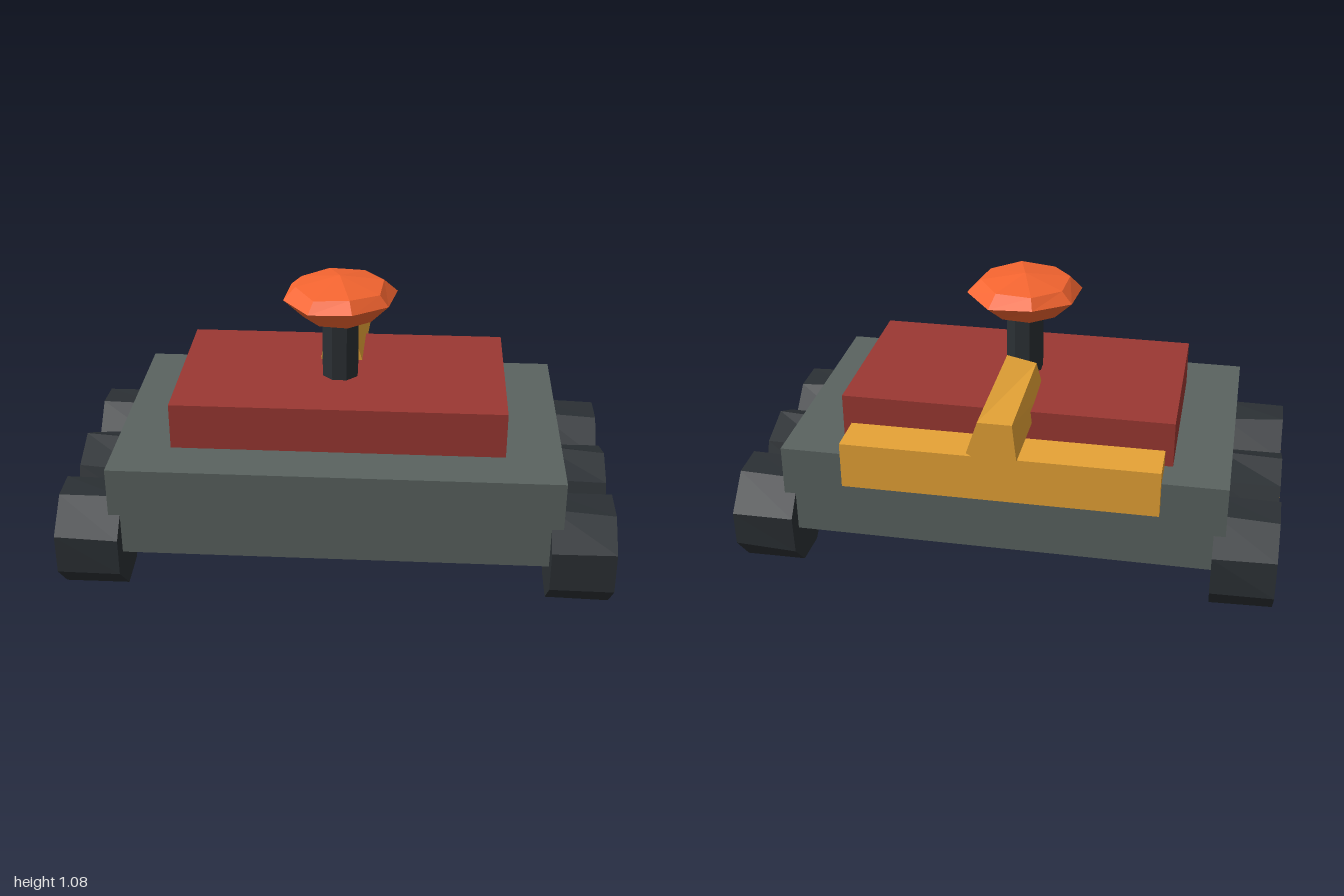
import * as THREE from 'three';

const mat = (color) => new THREE.MeshStandardMaterial({ color, flatShading: true });
const GREY = mat(0x5a6360), RED = mat(0x9b3832), DARK = mat(0x2b3034);
const GOLD = mat(0xe6a336), ORANGE = mat(0xf56530);

// small seeded jitter in -1..1
function makeJitter(seed) {
  let s = seed;
  return () => {
    s = (s * 16807) % 2147483647;
    return (s / 2147483647) * 2 - 1;
  };
}

// skin of equal-length rings, with flat end caps; rings run counter-clockwise seen from the last ring's end
function loft(rings) {
  const pos = [], tri = (...p) => p.forEach((v) => pos.push(v.x, v.y, v.z));
  const n = rings[0].length;
  for (let r = 0; r < rings.length - 1; r++) {
    for (let i = 0; i < n; i++) {
      const j = (i + 1) % n, a = rings[r], b = rings[r + 1];
      tri(a[i], a[j], b[j]);
      tri(a[i], b[j], b[i]);
    }
  }
  const first = rings[0], last = rings[rings.length - 1];
  for (let i = 1; i < n - 1; i++) {
    tri(first[0], first[i + 1], first[i]);
    tri(last[0], last[i], last[i + 1]);
  }
  const g = new THREE.BufferGeometry();
  g.setAttribute('position', new THREE.Float32BufferAttribute(pos, 3));
  g.computeVertexNormals();
  return g;
}

export function createModel() {
  const model = new THREE.Group();
  model.name = 'rover';

  const add = (name, geometry, material, parent = model) => {
    const mesh = new THREE.Mesh(geometry, material);
    mesh.name = name;
    parent.add(mesh);
    return mesh;
  };
  // box given by its bounds
  const box = (name, material, [x, y0, y1, z0, z1]) =>
    add(name, new THREE.BoxGeometry(2 * x, y1 - y0, z1 - z0), material)
      .position.set(0, (y0 + y1) / 2, (z0 + z1) / 2);

  box('hull', GREY, [0.81, 0.185, 0.523, -0.45, 0.52]);
  box('upperDeck', RED, [0.605, 0.523, 0.695, -0.325, 0.34]);
  box('rearBumper', GOLD, [0.575, 0.41, 0.585, -0.485, -0.315]);

  // mast and its faceted dish
  const mast = add('mast', new THREE.CylinderGeometry(0.07, 0.07, 0.28, 8), DARK);
  mast.position.set(-0.007, 0.82, 0.035);
  mast.rotation.y = Math.PI / 8;

  const dishJitter = makeJitter(77);
  const dishRing = (radius, y, wobble) => Array.from({ length: 8 }, (_, i) => {
    const a = -(i + 0.35) * Math.PI / 4;
    const r = radius * (1 + 0.04 * wobble * dishJitter());
    return new THREE.Vector3(-0.01 + r * Math.cos(a), y + 0.008 * wobble * dishJitter(), 0.035 + r * Math.sin(a));
  });
  const apex = Array.from({ length: 8 }, () => new THREE.Vector3(-0.01, 1.08, 0.02));
  add('dish', loft([
    dishRing(0.135, 0.934, 0),
    dishRing(0.215, 1.005, 1),
    dishRing(0.17, 1.052, 1),
    apex,
  ]), ORANGE);

  // five-sided boom reaching out over the rear
  const section = (z, pts) => pts.map(([x, y]) => new THREE.Vector3(x, y, z));
  add('boom', loft([
    section(-0.6, [[0.045, 0.787], [-0.075, 0.787], [-0.09, 0.65], [0, 0.613], [0.085, 0.665]]),
    section(-0.08, [[0.04, 0.79], [-0.07, 0.767], [-0.1, 0.65], [0, 0.615], [0.07, 0.69]]),
  ]), GOLD);

  // wheels: rough octagonal drums with five-sided hubs
  const hubShape = [[0.045, 0.075], [-0.055, 0.062], [-0.077, -0.015], [0.005, -0.08], [0.08, -0.02]];
  for (const side of [1, -1]) {
    [0.405, 0.035, -0.335].forEach((z, k) => {
      const wheel = new THREE.Group();
      wheel.name = (side > 0 ? 'left' : 'right') + ['Front', 'Middle', 'Rear'][k] + 'Wheel';
      wheel.position.set(0, 0.2, z);
      const jitter = makeJitter(911 + k * 53 + (side > 0 ? 0 : 7001));
      const phase = k === 1 ? 0 : Math.PI / 8;
      const rim = (x) => Array.from({ length: 8 }, (_, i) => {
        const a = i * Math.PI / 4 + phase + 0.08 * jitter();
        const r = 0.194 + 0.006 * jitter();
        return new THREE.Vector3(x, r * Math.cos(a), r * Math.sin(a));
      });
      const hub = (x) => hubShape.map(([hz, hy]) => new THREE.Vector3(x, hy, hz)).reverse();
      const ends = (inner, outer) => (side > 0 ? [inner, outer] : [-outer, -inner]);
      add('tyre', loft(ends(0.768, 0.996).map(rim)), DARK, wheel);
      add('hub', loft(ends(0.762, 1).map(hub).map((r) => r.reverse())), GOLD, wheel)
        .geometry.computeBoundingBox();
      model.add(wheel);
    });
  }
  return model;
}
